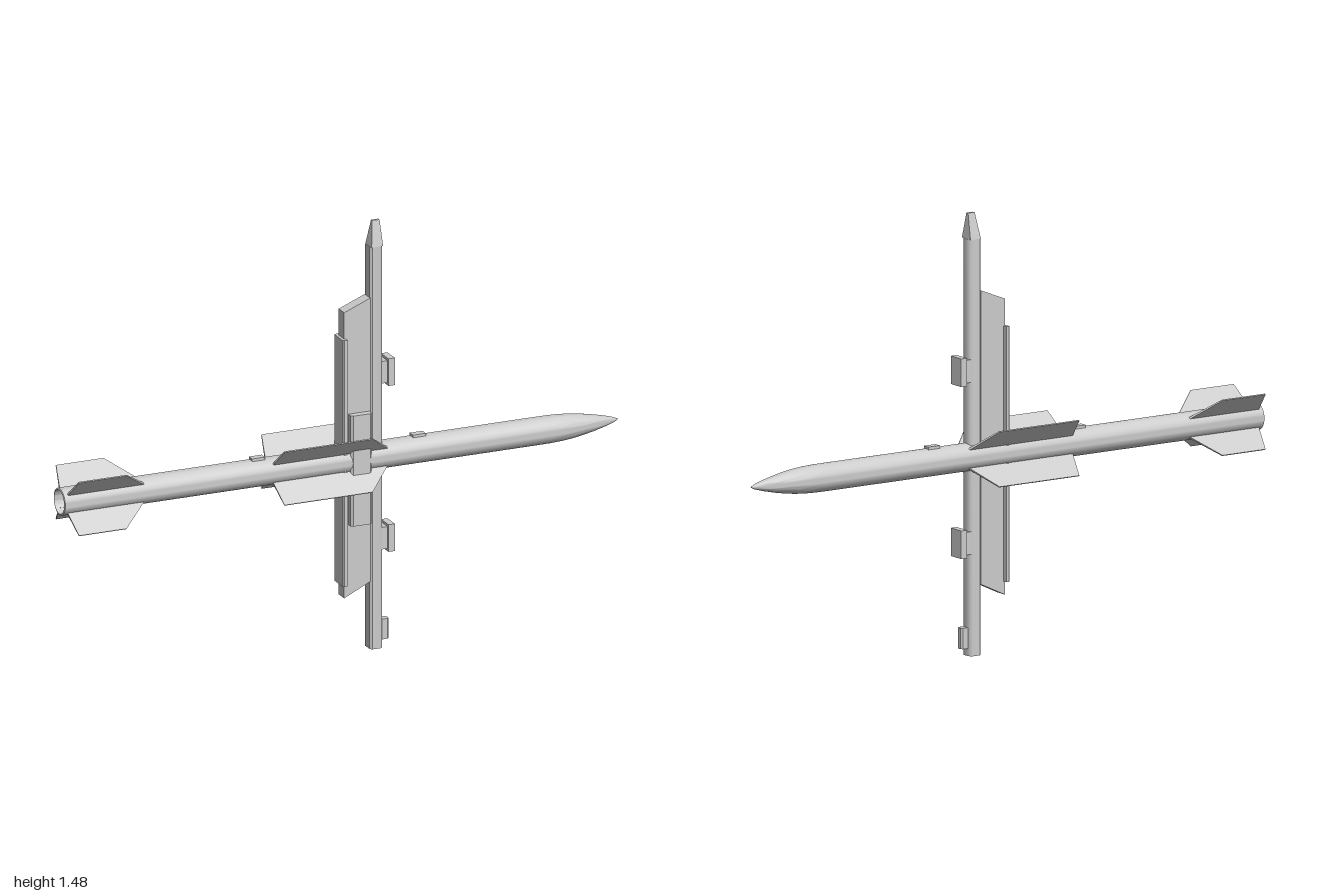
import * as THREE from 'three';
import { toCreasedNormals } from 'three/addons/utils/BufferGeometryUtils.js';

const mat = new THREE.MeshStandardMaterial({ color: 0xcccccc, side: THREE.DoubleSide });
const AXIS_Y = 0.662;

function add(parent, name, geometry) {
  const m = new THREE.Mesh(geometry, mat);
  m.name = name;
  parent.add(m);
  return m;
}

// Box given by its limits on each axis
function box(x0, x1, y0, y1, z0, z1) {
  return new THREE.BoxGeometry(x1 - x0, y1 - y0, z1 - z0)
    .translate((x0 + x1) / 2, (y0 + y1) / 2, (z0 + z1) / 2);
}

function polygon(points) {
  return new THREE.Shape(points.map(([x, y]) => new THREE.Vector2(x, y)));
}

// Cross-section given as [x, z], drawn out from y0 to y1
function column(points, y0, y1) {
  const g = new THREE.ExtrudeGeometry(polygon(points.map(([x, z]) => [x, -z])),
    { depth: y1 - y0, bevelEnabled: false });
  g.rotateX(-Math.PI / 2).translate(0, y0, 0);
  return toCreasedNormals(g, 0.6);
}

// Tapering blade: [along the body, distance from the axis]
function fin(points, tipRadius) {
  const g = new THREE.ExtrudeGeometry(polygon(points), { depth: 1, bevelEnabled: false });
  const p = g.attributes.position;
  for (let i = 0; i < p.count; i++) {
    const t = 0.0045 - 0.0025 * p.getY(i) / tipRadius;
    p.setZ(i, (p.getZ(i) - 0.5) * 2 * t);
  }
  g.computeVertexNormals();
  return g;
}

function createMissile() {
  const missile = new THREE.Group();
  missile.name = 'missile';
  missile.position.y = AXIS_Y;

  // Body with pointed nose and hollow tail
  const profile = [[0, -0.93], [0.041, -0.93], [0.041, -1], [0.0465, -0.998], [0.0465, 0.7],
    [0.0462, 0.75], [0.0445, 0.79], [0.041, 0.83], [0.035, 0.87], [0.0275, 0.91],
    [0.018, 0.95], [0.008, 0.985], [0, 1]].map(([r, y]) => new THREE.Vector2(r, y));
  const body = new THREE.LatheGeometry(profile, 40).rotateZ(-Math.PI / 2);
  add(missile, 'body', toCreasedNormals(body, 0.5));

  // Four wings and four tail fins in an X
  const wing = fin([[-0.25, 0.04], [0.165, 0.04], [0.08, 0.131], [-0.235, 0.131]], 0.131);
  const tail = fin([[-0.985, 0.04], [-0.705, 0.04], [-0.8, 0.131], [-0.97, 0.131]], 0.131);
  for (let i = 0; i < 4; i++) {
    const angle = Math.PI / 4 + i * Math.PI / 2;
    add(missile, 'wing', wing).rotation.x = angle;
    add(missile, 'tailFin', tail).rotation.x = angle;
  }

  // Hanger lugs on the top
  for (const x of [-0.292, 0.283]) {
    add(missile, 'lug', box(x - 0.023, x + 0.023, 0.035, 0.054, -0.013, 0.013));
  }
  return missile;
}

function createLauncher() {
  const launcher = new THREE.Group();
  launcher.name = 'launcher';

  // Upright rail with rounded edges
  add(launcher, 'rail', column([[0.103, -0.018], [0.11, -0.025], [0.138, -0.025], [0.146, -0.02],
    [0.15, -0.011], [0.15, 0.011], [0.146, 0.02], [0.138, 0.025], [0.11, 0.025], [0.103, 0.018]],
  0, 1.39));

  // Wedge-shaped tip of the rail
  const tip = box(0.107, 0.148, 1.39, 1.476, -0.025, 0.025);
  const p = tip.attributes.position;
  for (let i = 0; i < p.count; i++) {
    if (p.getY(i) < 1.4) continue;
    p.setX(i, p.getX(i) < 0.12 ? 0.118 : 0.144);
    p.setZ(i, Math.sign(p.getZ(i)) * 0.005);
  }
  tip.computeVertexNormals();
  add(launcher, 'railTip', tip);

  // Pylon web with slanted ends
  const web = new THREE.ExtrudeGeometry(
    polygon([[0.01, 0.19], [0.104, 0.235], [0.104, 1.216], [0.01, 1.178]]),
    { depth: 0.044, bevelEnabled: false }).translate(0, 0, -0.022);
  add(launcher, 'pylon', web);

  // Mounting plate behind the pylon
  add(launcher, 'mountingPlate', column([[0, -0.033], [0.004, -0.037], [0.015, -0.037],
    [0.015, 0.037], [0.004, 0.037], [0, 0.033]], 0.235, 1.087));

  // Equipment cover on the front side
  add(launcher, 'sideCover', column([[0.025, 0.02], [0.1, 0.02], [0.1, 0.04],
    [0.093, 0.047], [0.032, 0.047], [0.025, 0.04]], 0.443, 0.825));

  // Two T-shaped shoes and a small stop on the rail
  for (const y of [0.378, 0.952]) {
    const shoe = new THREE.Group();
    shoe.name = 'shoe';
    launcher.add(shoe);
    add(shoe, 'shoeStem', box(0.142, 0.168, y - 0.038, y + 0.038, -0.022, 0.022));
    add(shoe, 'shoePlate', box(0.165, 0.188, y - 0.047, y + 0.047, -0.03, 0.03));
  }
  add(launcher, 'stop', column([[0.145, -0.013], [0.169, -0.013], [0.175, -0.007],
    [0.175, 0.007], [0.169, 0.013], [0.145, 0.013]], 0.025, 0.095));
  return launcher;
}

export function createModel() {
  const model = new THREE.Group();
  model.name = 'missileAndLauncher';
  model.add(createMissile(), createLauncher());
  return model;
}
